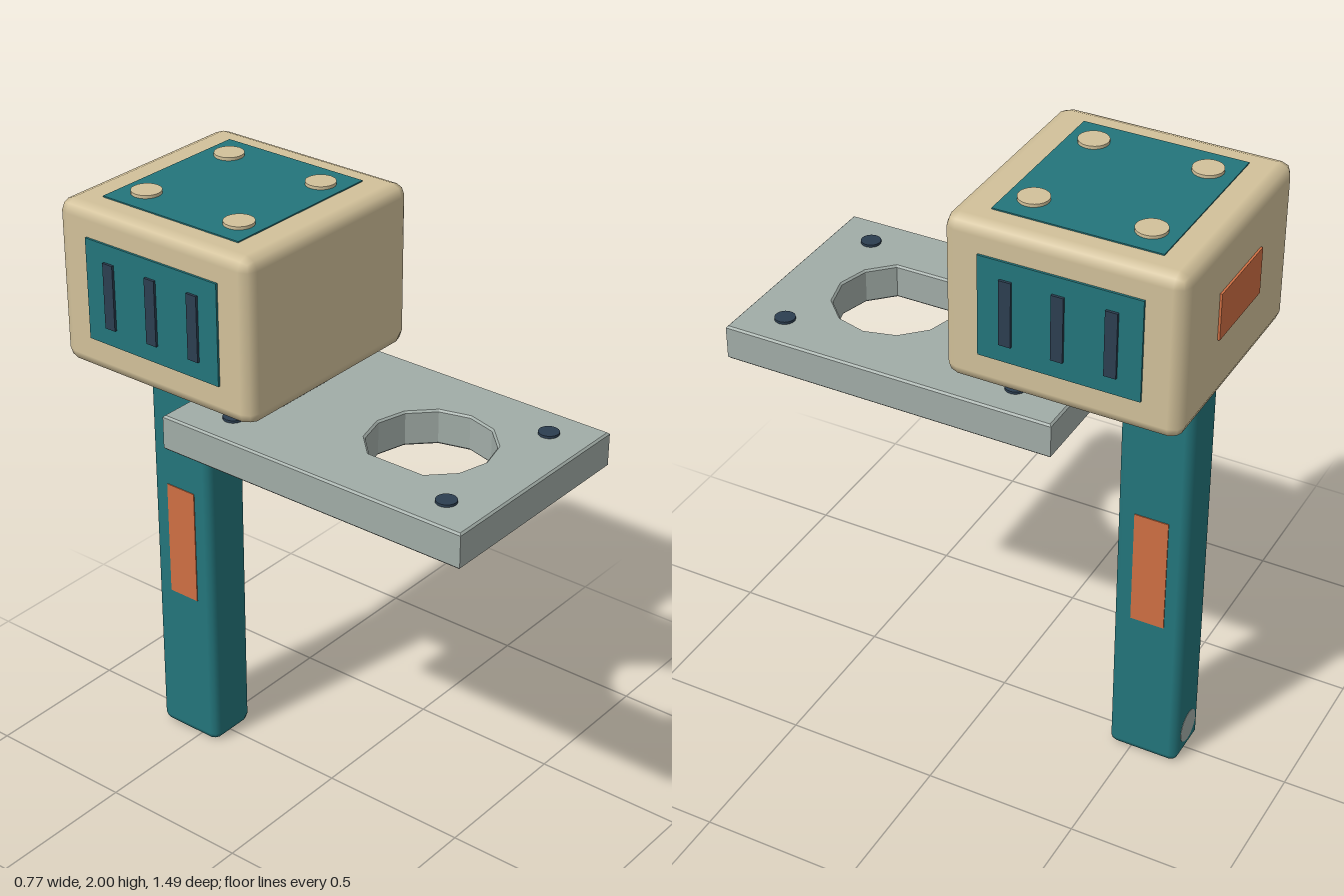
import * as THREE from 'three';
import { RoundedBoxGeometry } from 'three/addons/geometries/RoundedBoxGeometry.js';

const mat = (color) => new THREE.MeshStandardMaterial({ color });

export function createModel() {
  const model = new THREE.Group();
  const tan = mat(0xd2c19a), teal = mat(0x23757b), grey = mat(0xa1aca7);
  const navy = mat(0x2c3e50), orange = mat(0xcf6f43);

  const add = (name, geometry, material, x, y, z) => {
    const mesh = new THREE.Mesh(geometry, material);
    mesh.name = name;
    mesh.position.set(x, y, z);
    model.add(mesh);
    return mesh;
  };
  const box = (w, h, d) => new THREE.BoxGeometry(w, h, d);
  // box with a single smooth-shaded chamfer
  const chamferBox = (w, h, d, r) => new RoundedBoxGeometry(w, h, d, 1, r);
  const disc = (r, h) => new THREE.CylinderGeometry(r, r, h, 24);

  // Head block
  add('head', chamferBox(0.74, 0.527, 0.737, 0.04), tan, 0, 1.7225, -0.3685);

  // Top panel with four studs
  add('topPanel', box(0.565, 0.02, 0.52), teal, 0, 1.98, -0.37);
  for (const x of [-0.185, 0.185]) {
    for (const z of [-0.19, -0.547]) add('topStud', disc(0.047, 0.03), tan, x, 1.985, z);
  }

  // Side panels with vent bars, and the handle's side grips
  for (const s of [-1, 1]) {
    add('sidePanel', box(0.02, 0.325, 0.505), teal, s * 0.367, 1.73, -0.367);
    for (const z of [-0.204, -0.365, -0.528]) {
      add('ventBar', box(0.03, 0.21, 0.038), navy, s * 0.37, 1.73, z);
    }
    add('handleGrip', box(0.02, 0.4, 0.112), orange, s * 0.082, 0.745, -0.543);
  }

  // Rear plaque
  add('rearPlaque', box(0.28, 0.15, 0.02), orange, 0, 1.745, -0.734);

  // Handle and its end disc
  add('handle', chamferBox(0.178, 1.455, 0.236, 0.026), teal, 0, 0.7325, -0.543);
  add('handleEndDisc', disc(0.055, 0.03), grey, 0, 0.1, -0.647).rotation.x = Math.PI / 2;

  // Neck between head and base plate
  add('neck', chamferBox(0.235, 0.09, 0.235, 0.01), grey, 0, 1.435, -0.218);

  // Base plate with a faceted opening, flat on its right side
  const b = 0.006, x1 = 0.37 - b, z0 = -0.345 + b, z1 = 0.745 - b;
  const outline = new THREE.Shape([
    new THREE.Vector2(-x1, -z1), new THREE.Vector2(x1, -z1),
    new THREE.Vector2(x1, -z0), new THREE.Vector2(-x1, -z0),
  ]);
  const hole = [];
  for (let i = 0; i < 12; i++) {
    if (i === 6) continue;
    const a = (i / 12) * Math.PI * 2;
    hole.push(new THREE.Vector2(0.2 * Math.cos(a), -0.37 + 0.2 * Math.sin(a)));
  }
  outline.holes.push(new THREE.Path(hole.reverse()));
  const plate = new THREE.ExtrudeGeometry(outline, {
    depth: 0.115 - 2 * b, bevelEnabled: true, bevelSize: b, bevelThickness: b, bevelSegments: 1,
  });
  plate.rotateX(-Math.PI / 2);
  add('basePlate', plate, grey, 0, 1.28 + b, 0);

  // Plate bolts
  for (const x of [-0.252, 0.252]) {
    for (const z of [0.61, -0.17]) add('plateBolt', disc(0.032, 0.03), navy, x, 1.388, z);
  }
  return model;
}
